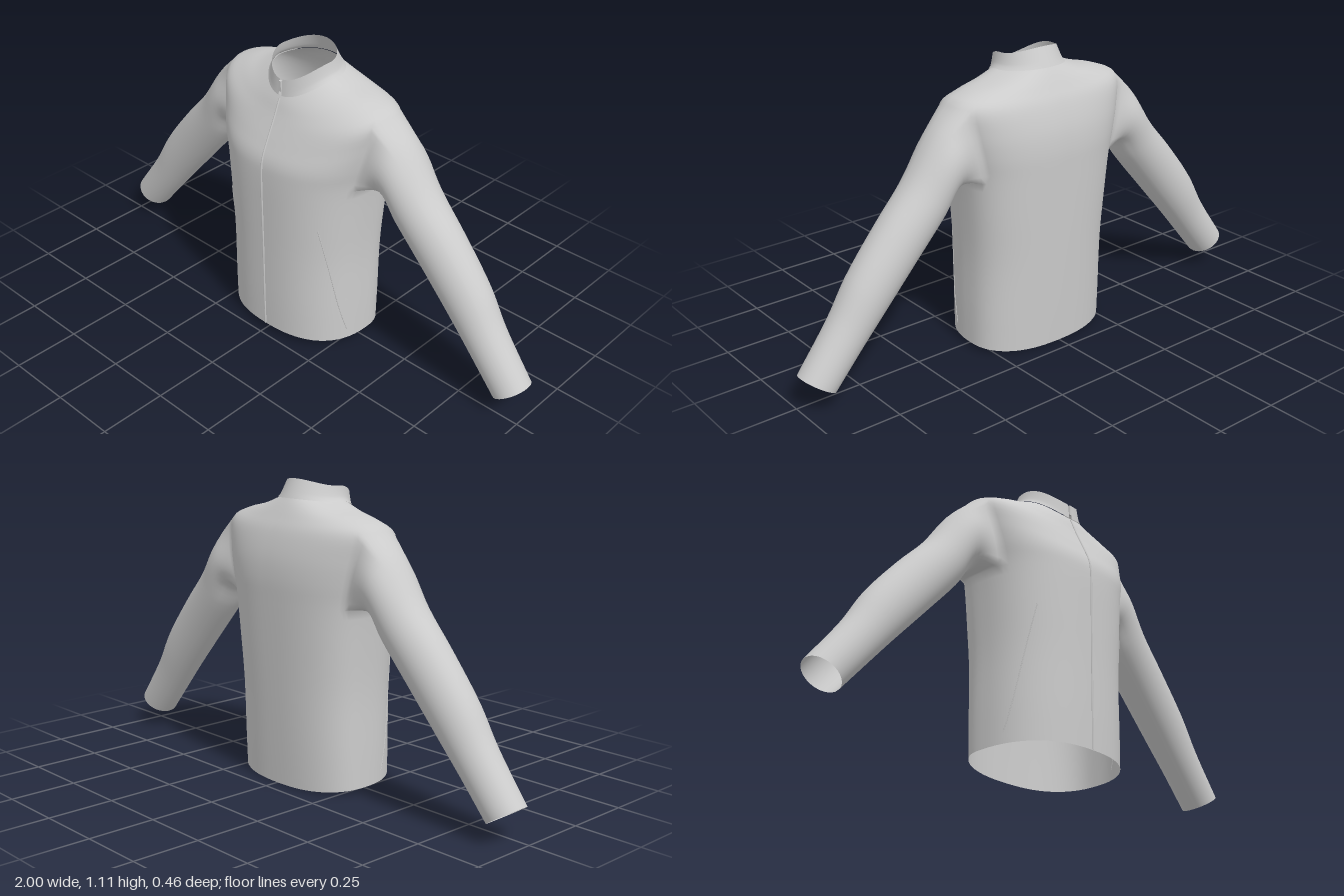
import * as THREE from 'three';

const material = new THREE.MeshStandardMaterial({ color: 0xcccccc, side: THREE.DoubleSide });

// Torso sections, hem to neck:
// side y, half width, front y, front z, back y, back z, centre z, roundness
const SECTIONS = [
  [0.02, 0.285, 0.03, 0.222, 0.005, -0.195, -0.03, 0.82],
  [0.15, 0.285, 0.16, 0.224, 0.14, -0.202, -0.03, 0.82],
  [0.35, 0.284, 0.36, 0.225, 0.35, -0.212, -0.03, 0.82],
  [0.52, 0.293, 0.53, 0.227, 0.53, -0.22, -0.035, 0.8],
  [0.68, 0.308, 0.68, 0.228, 0.68, -0.226, -0.04, 0.8],
  [0.77, 0.328, 0.75, 0.222, 0.77, -0.228, -0.04, 0.8],
  [0.86, 0.35, 0.81, 0.198, 0.85, -0.22, -0.04, 0.82],
  [0.95, 0.362, 0.87, 0.17, 0.93, -0.198, -0.04, 0.85],
  [0.988, 0.29, 0.91, 0.152, 0.98, -0.172, -0.035, 0.9],
  [1.01, 0.2, 0.945, 0.138, 1.02, -0.148, -0.02, 0.95],
  [1.035, 0.132, 0.97, 0.126, 1.045, -0.13, -0.01, 1],
];
// Sleeve rings: top x, y, underside x, y, centre z, half depth
const SLEEVE = [
  [0.445, 0.87, 0.365, 0.668, -0.043, 0.11],
  [0.55, 0.725, 0.43, 0.58, -0.045, 0.1],
  [0.66, 0.605, 0.56, 0.43, -0.046, 0.092],
  [0.79, 0.445, 0.69, 0.283, -0.046, 0.085],
  [0.87, 0.315, 0.775, 0.185, -0.044, 0.077],
  [1.0, 0.14, 0.88, 0.062, -0.043, 0.072],
];
const COLS = 36, SUB = 4, ROWS = (SECTIONS.length - 1) * SUB;
// Armhole limits in the torso grid
const HOLE = { c0: 13, c1: 22, r0: 4 * SUB, r1: 7 * SUB };

function section(v) {
  const last = SECTIONS.length - 1, i = Math.min(Math.floor(v), last - 1), t = v - i;
  const at = (k) => SECTIONS[Math.min(Math.max(k, 0), last)];
  return SECTIONS[i].map((p1, k) => {
    const p0 = at(i - 1)[k], p2 = at(i + 1)[k], p3 = at(i + 2)[k];
    const m1 = (p2 - p0) / 2, m2 = (p3 - p1) / 2;
    return p1 + m1 * t + (3 * (p2 - p1) - 2 * m1 - m2) * t * t + (2 * (p1 - p2) + m1 + m2) * t ** 3;
  });
}

// Point on one section; angle -90 is centre back, 0 the side, 90 centre front
function sectionPoint([ys, a, yf, zf, yb, zb, zc, e], angle) {
  const r = THREE.MathUtils.degToRad(angle);
  const c = Math.max(Math.cos(r), 0), s = Math.sin(r);
  const x = Math.abs(angle) >= 90 ? 0 : a * c ** e;
  const z = zc + ((s > 0 ? zf : zb) - zc) * Math.abs(s) ** e;
  return new THREE.Vector3(x, ys + ((s > 0 ? yf : yb) - ys) * s * s, z);
}
const torsoPoint = (v, angle) => sectionPoint(section(v), angle);

function mirrored(geometry) {
  const g = geometry.clone().scale(-1, 1, 1), ix = g.index.array;
  for (let i = 0; i < ix.length; i += 3) [ix[i], ix[i + 1]] = [ix[i + 1], ix[i]];
  return g;
}

function addPair(group, name, geometry) {
  [[geometry, 'left'], [mirrored(geometry), 'right']].forEach(([g, side]) => {
    const mesh = new THREE.Mesh(g, material);
    mesh.name = side + name;
    group.add(mesh);
  });
}

function surface(points, index) {
  const g = new THREE.BufferGeometry().setFromPoints(points);
  g.setIndex(index);
  g.computeVertexNormals();
  return g;
}

// Keep shading continuous across the centre line
function smoothCentre(g) {
  const p = g.attributes.position, n = g.attributes.normal, v = new THREE.Vector3();
  for (let i = 0; i < p.count; i++) {
    if (Math.abs(p.getX(i)) > 1e-6) continue;
    v.set(0, n.getY(i), n.getZ(i)).normalize();
    n.setXYZ(i, v.x, v.y, v.z);
  }
}

const quad = (list, a, up, upNext, next) => list.push(a, up, next, up, upNext, next);

// Torso half and sleeve share vertices round the armhole
function buildHalf() {
  const points = [], body = [], sleeve = [];
  const id = (r, c) => r * (COLS + 1) + c;
  for (let r = 0; r <= ROWS; r++)
    for (let c = 0; c <= COLS; c++) points.push(torsoPoint(r / SUB, -90 + (180 * c) / COLS));
  const { c0, c1, r0, r1 } = HOLE;
  for (let r = 0; r < ROWS; r++)
    for (let c = 0; c < COLS; c++) {
      if (r >= r0 && r < r1 && c >= c0 && c < c1) continue;
      quad(body, id(r, c), id(r + 1, c), id(r + 1, c + 1), id(r, c + 1));
    }

  // Armhole loop: underarm, front, shoulder, back
  const loop = [];
  for (let c = c0; c < c1; c++) loop.push(id(r0, c));
  for (let r = r0; r < r1; r++) loop.push(id(r, c1));
  for (let c = c1; c > c0; c--) loop.push(id(r1, c));
  for (let r = r1; r > r0; r--) loop.push(id(r, c0));

  // Sleeve strands run from the armhole to the cuff
  const STEPS = 30, start = points.length, n = loop.length;
  loop.forEach((k) => {
    const p = points[k];
    const angle = Math.atan2((p.z + 0.035) / 0.11, (p.y - 0.81) / 0.135);
    const s = Math.sin(angle), c = Math.cos(angle);
    const strand = SLEEVE.map(([tx, ty, bx, by, zc, rz]) => new THREE.Vector3(
      (tx + bx) / 2 + ((tx - bx) / 2) * c, (ty + by) / 2 + ((ty - by) / 2) * c, zc + rz * s));
    const curve = new THREE.CatmullRomCurve3([p.clone(), ...strand]);
    for (let j = 1; j <= STEPS; j++) points.push(curve.getPoint(j / STEPS));
  });
  const sid = (i, j) => (j === 0 ? loop[i % n] : start + (i % n) * STEPS + j - 1);
  for (let i = 0; i < n; i++)
    for (let j = 0; j < STEPS; j++)
      quad(sleeve, sid(i, j), sid(i, j + 1), sid(i + 1, j + 1), sid(i + 1, j));

  const whole = surface(points, [...body, ...sleeve]);
  smoothCentre(whole);
  return [body, sleeve].map((index) => whole.clone().setIndex(index));
}

// Stand collar with a narrow opening at the front
function buildCollar() {
  const base = section(9.95), top = [1.088, 0.113, 1.03, 0.124, 1.112, -0.1, 0, 1];
  base[1] += 0.004; base[3] += 0.004; base[5] -= 0.004;
  const points = [], index = [], rows = 6;
  for (let r = 0; r <= rows; r++) {
    const t = r / rows;
    const ring = base.map((b, k) => b + (top[k] - b) * (k === 1 ? Math.sqrt(t) : t));
    for (let c = 0; c <= COLS; c++) points.push(sectionPoint(ring, -90 + (177 * c) / COLS));
  }
  for (let r = 0; r < rows; r++)
    for (let c = 0; c < COLS; c++) {
      const a = r * (COLS + 1) + c, b = a + COLS + 1;
      quad(index, a, b, b + 1, a + 1);
    }
  const g = surface(points, index);
  smoothCentre(g);
  return g;
}

function seam(points, radius) {
  return new THREE.TubeGeometry(new THREE.CatmullRomCurve3(points), 60, radius, 6, false);
}

export function createModel() {
  const group = new THREE.Group();
  const [body, sleeve] = buildHalf();
  addPair(group, 'Body', body);
  addPair(group, 'Sleeve', sleeve);
  addPair(group, 'Collar', buildCollar());

  // Front zip and its pull
  const line = [];
  for (let v = 0.02; v < 10; v += 0.5) line.push(torsoPoint(v, 90));
  const zip = new THREE.Mesh(seam(line, 0.004), material);
  zip.name = 'frontZip';
  const pull = new THREE.Mesh(new THREE.BoxGeometry(0.01, 0.04, 0.008), material);
  pull.name = 'zipPull';
  pull.position.set(0, 1.005, 0.127);
  group.add(zip, pull);

  // Slanted side front seams
  const slant = [];
  for (let i = 0; i <= 8; i++) slant.push(torsoPoint(0.4 + i * 0.325, 18 + i * 3.6));
  addPair(group, 'FrontSeam', seam(slant, 0.002));
  return group;
}
